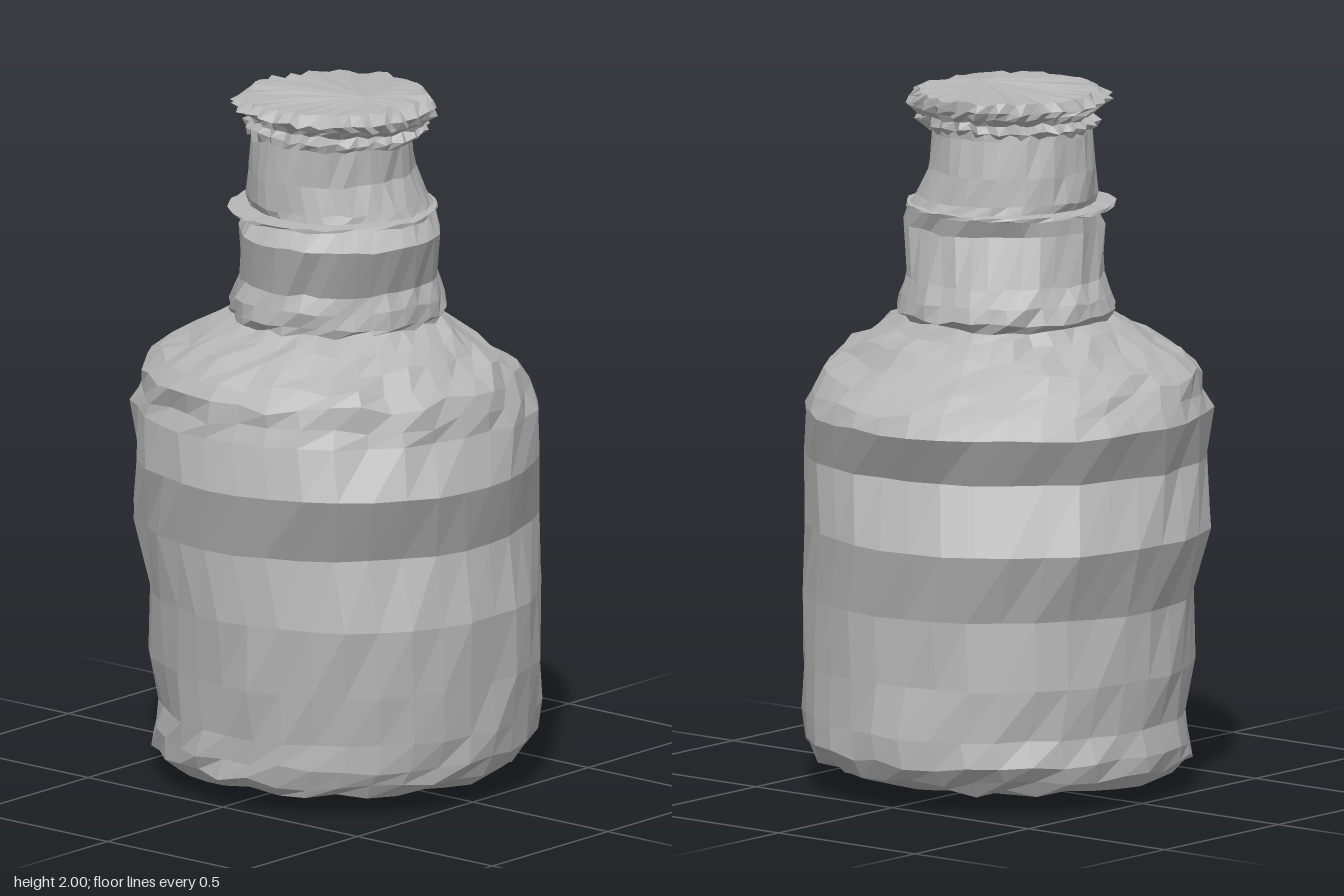
import * as THREE from 'three';

// Small seeded generator, returns -1..1
function makeNoise(seed) {
  let s = seed;
  return () => {
    s = (s * 16807) % 2147483647;
    return (s / 2147483647) * 2 - 1;
  };
}

// Faceted loft through uneven rings, listed from bottom to top:
// [y, left x, right x, back z, front z, radial wobble, height wobble, tooth depth]
function loft(rings, sides, seed) {
  const noise = makeNoise(seed);
  const pos = [];
  const index = [];
  rings.forEach(([y, x0, x1, z0, z1, wob = 0, lift = 0, tooth = 0], r) => {
    const cx = (x0 + x1) / 2, cz = (z0 + z1) / 2;
    const rx = (x1 - x0) / 2, rz = (z1 - z0) / 2;
    for (let i = 0; i < sides; i++) {
      const a = (i / sides) * Math.PI * 2;
      const d = noise() * wob + (i % 2 ? tooth : -tooth);
      pos.push(cx + Math.cos(a) * (rx + d), y + noise() * lift, cz + Math.sin(a) * (rz + d));
      if (r === 0) continue;
      const j = (i + 1) % sides;
      const p = (r - 1) * sides, q = r * sides;
      if (rings[r - 1][1] !== rings[r - 1][2]) index.push(p + i, q + i, p + j);
      if (x0 !== x1) index.push(p + j, q + i, q + j);
    }
  });
  const indexed = new THREE.BufferGeometry();
  indexed.setAttribute('position', new THREE.Float32BufferAttribute(pos, 3));
  indexed.setIndex(index);
  const geo = indexed.toNonIndexed();
  geo.computeVertexNormals();
  return geo;
}

export function createModel() {
  const group = new THREE.Group();
  group.name = 'bottle';
  const clay = new THREE.MeshStandardMaterial({ color: 0xb6b6b6 });
  clay.name = 'plain grey';

  const add = (name, geometry) => {
    const mesh = new THREE.Mesh(geometry, clay);
    mesh.name = name;
    group.add(mesh);
  };

  // Shallow pointed base, up to the rounded lower edge
  const base = [
    [0.0, 0.01, 0.01, 0, 0],
    [0.045, -0.37, 0.36, -0.39, 0.36, 0.015, 0.008],
    [0.06, -0.49, 0.48, -0.49, 0.48, 0.015, 0.012],
    [0.09, -0.525, 0.52, -0.53, 0.51, 0.012, 0.015],
    [0.14, -0.535, 0.55, -0.565, 0.52, 0.012, 0.012],
  ];
  // Wavy banded wall
  const wall = [
    [0.215, -0.515, 0.56, -0.565, 0.515, 0.01, 0.004],
    [0.36, -0.54, 0.57, -0.555, 0.53, 0.01, 0.003],
    [0.555, -0.53, 0.58, -0.55, 0.545, 0.01, 0.003],
    [0.755, -0.6, 0.54, -0.59, 0.545, 0.01, 0.003],
    [0.945, -0.545, 0.6, -0.52, 0.595, 0.01, 0.003],
    [1.085, -0.59, 0.555, -0.59, 0.565, 0.012, 0.006],
  ];
  // Rough sloping shoulder
  const shoulder = [
    [1.135, -0.56, 0.545, -0.555, 0.55, 0.014, 0.014],
    [1.19, -0.535, 0.525, -0.49, 0.55, 0.016, 0.016],
    [1.235, -0.48, 0.48, -0.42, 0.51, 0.018, 0.016],
    [1.275, -0.41, 0.42, -0.37, 0.43, 0.018, 0.014],
    [1.315, -0.345, 0.36, -0.31, 0.36, 0.014, 0.012],
    [1.345, -0.3, 0.295, -0.28, 0.3, 0.01, 0.008],
  ];
  // Bulging neck
  const neck = [
    [1.365, -0.31, 0.3, -0.305, 0.305, 0.01, 0.008],
    [1.41, -0.3, 0.295, -0.3, 0.3, 0.01, 0.006],
    [1.46, -0.27, 0.28, -0.275, 0.285, 0.008, 0.005],
    [1.6, -0.245, 0.325, -0.235, 0.32, 0.008, 0.004],
    [1.66, -0.24, 0.28, -0.25, 0.265, 0.006, 0.003],
    [1.69, -0.25, 0.265, -0.235, 0.265, 0.006, 0.004],
    [1.77, -0.24, 0.225, -0.22, 0.265, 0.006, 0.004],
    [1.87, -0.23, 0.225, -0.2, 0.26, 0.006, 0.005],
    [1.92, -0.22, 0.24, -0.2, 0.25, 0.005],
  ];
  add('body', loft([...base, ...wall, ...shoulder, ...neck], 36, 71));

  // Thin flange around the neck
  add('neckCollar', loft([
    [1.648, -0.22, 0.25, -0.23, 0.24],
    [1.655, -0.288, 0.303, -0.262, 0.325, 0.005, 0.004],
    [1.664, -0.288, 0.303, -0.262, 0.325, 0.005, 0.003],
    [1.672, -0.22, 0.25, -0.22, 0.24],
  ], 40, 19));

  // Crimped cap with a nearly flat top
  add('cap', loft([
    [1.885, -0.2, 0.2, -0.18, 0.24],
    [1.88, -0.23, 0.265, -0.19, 0.265, 0.006, 0.008, 0.005],
    [1.9, -0.245, 0.285, -0.21, 0.27, 0.006, 0.008, 0.008],
    [1.92, -0.225, 0.27, -0.21, 0.255, 0.006, 0.007, 0.006],
    [1.94, -0.245, 0.295, -0.23, 0.27, 0.006, 0.006, 0.01],
    [1.962, -0.265, 0.295, -0.235, 0.315, 0.006, 0.007, 0.01],
    [1.985, -0.24, 0.255, -0.23, 0.28, 0.008, 0.006, 0.004],
    [1.99, -0.13, 0.21, -0.13, 0.16, 0.006, 0.004],
    [1.998, 0.125, 0.125, 0.03, 0.03],
  ], 56, 43));

  return group;
}
